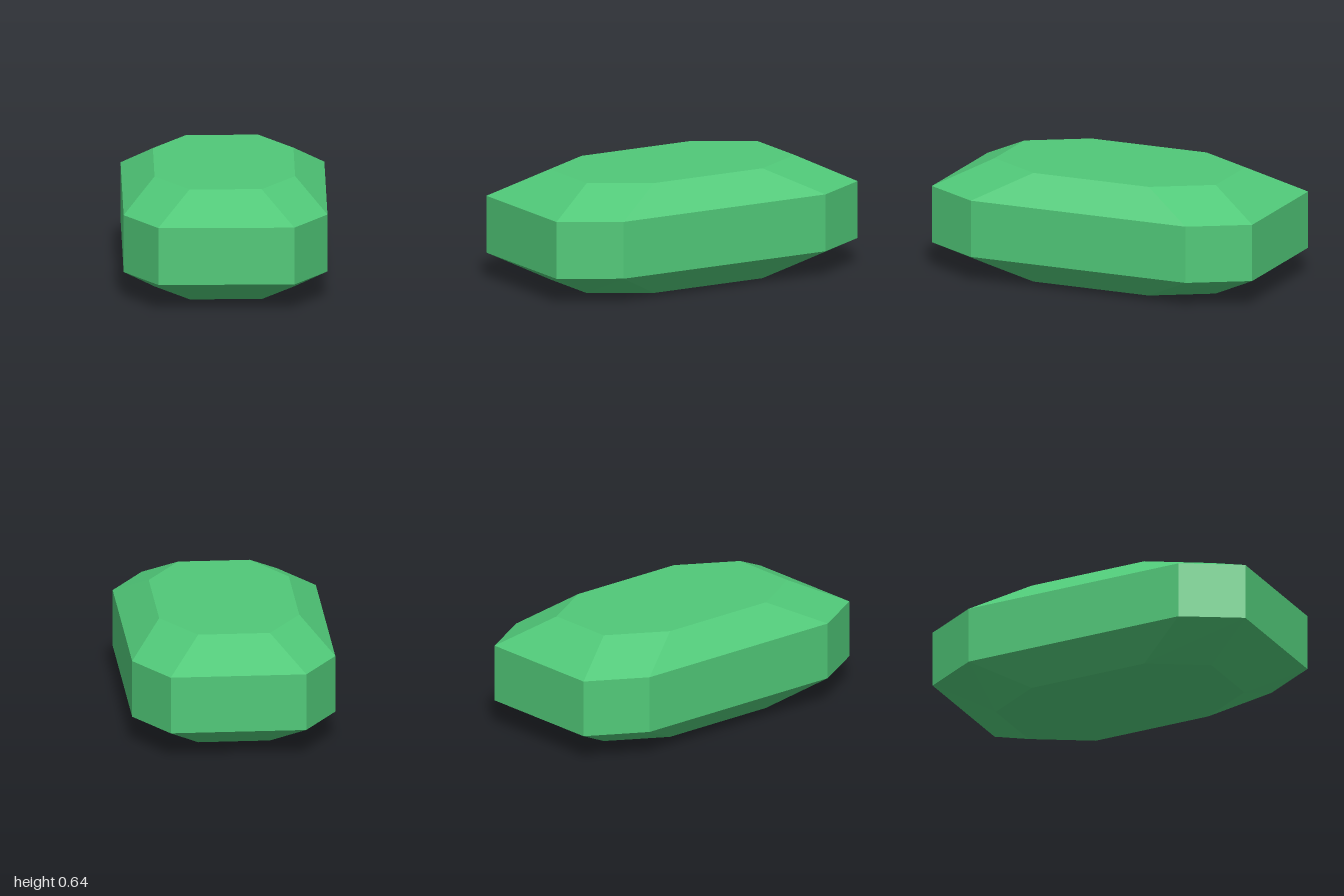
import * as THREE from 'three';

// Octagonal ring: a rectangle with cut corners, at height y
function ring(y, endHalfWidth, endZ, sideX, sideHalfLength) {
  const quarter = [[sideX, sideHalfLength], [endHalfWidth, endZ]];
  const half = [...quarter, ...quarter.map(([x, z]) => [-x, z]).reverse()];
  const loop = [...half, ...half.map(([x, z]) => [-x, -z])];
  return loop.map(([x, z]) => [x, y, z]);
}

export function createModel() {
  const group = new THREE.Group();
  group.name = 'cutGem';

  // Cross-sections from the base facet up to the table facet
  const rings = [
    ring(0, 0.205, 0.69, 0.4, 0.36),
    ring(0.156, 0.387, 1, 0.58, 0.67),
    ring(0.488, 0.387, 1, 0.58, 0.67),
    ring(0.642, 0.205, 0.69, 0.4, 0.36),
  ];
  const positions = [];
  const tri = (...corners) => corners.forEach((c) => positions.push(...c));

  // Facets between neighbouring rings
  for (let r = 0; r < rings.length - 1; r++) {
    const low = rings[r], high = rings[r + 1];
    for (let i = 0; i < 8; i++) {
      const j = (i + 1) % 8;
      tri(low[j], low[i], high[i]);
      tri(low[j], high[i], high[j]);
    }
  }

  // Flat base and table
  const base = rings[0], table = rings[3];
  for (let i = 1; i < 7; i++) {
    tri(base[0], base[i], base[i + 1]);
    tri(table[0], table[i + 1], table[i]);
  }

  const geometry = new THREE.BufferGeometry();
  geometry.setAttribute('position', new THREE.Float32BufferAttribute(positions, 3));
  geometry.computeVertexNormals();

  const material = new THREE.MeshStandardMaterial({ color: 0x50c878, flatShading: true });
  const gem = new THREE.Mesh(geometry, material);
  gem.name = 'gem';
  group.add(gem);
  return group;
}
